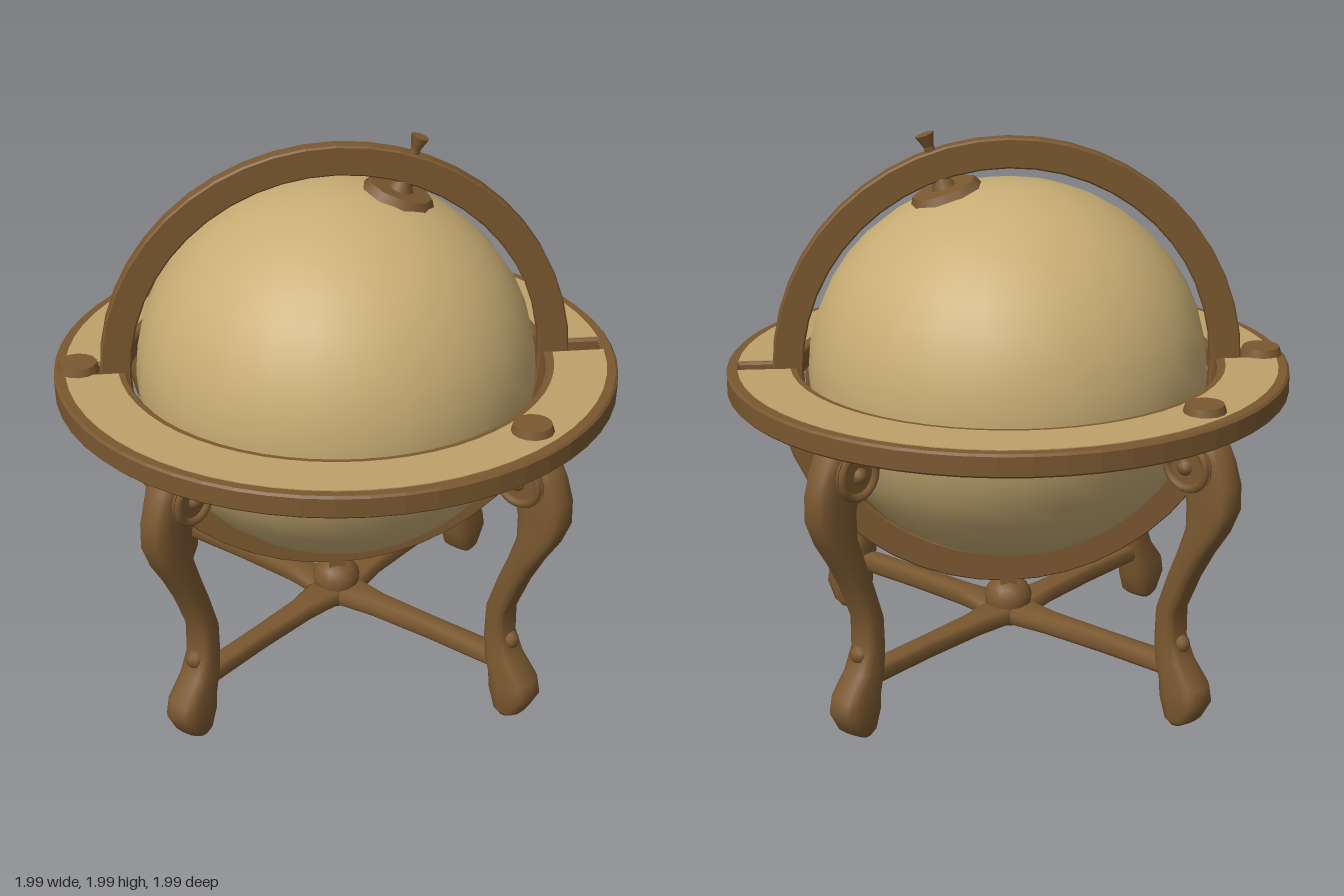
import * as THREE from 'three';

const mat = (name, color) => {
  const m = new THREE.MeshStandardMaterial({ color });
  m.name = name;
  return m;
};

export function createModel() {
  const wood = mat('brown wood', 0x7a5830);
  const paper = mat('globe parchment', 0xc8ad74);
  const inlay = mat('horizon inlay', 0xbca26a);
  const model = new THREE.Group();

  const add = (parent, name, geo, material, x = 0, y = 0, z = 0) => {
    const mesh = new THREE.Mesh(geo, material);
    mesh.name = name;
    mesh.position.set(x, y, z);
    parent.add(mesh);
    return mesh;
  };

  const arc = (r, a0, a1, n) => Array.from({ length: n + 1 }, (_, i) => {
    const a = a0 + (a1 - a0) * i / n;
    return new THREE.Vector2(r * Math.cos(a), r * Math.sin(a));
  });
  const extrude = (shape, depth, bevel = 0) => new THREE.ExtrudeGeometry(shape, {
    depth: depth - 2 * bevel, bevelEnabled: bevel > 0, bevelThickness: bevel,
    bevelSize: bevel, bevelOffset: -bevel, bevelSegments: 1,
  }).translate(0, 0, bevel);

  // Smooth loft of rounded sections, rows from bottom to top: [y, inner, outer, width]
  const loft = (rows, n = 14) => {
    const pos = [], idx = [];
    const soft = (v) => Math.sign(v) * Math.abs(v) ** 0.65;
    for (const [y, a, b, w] of rows) {
      for (let j = 0; j < n; j++) {
        const t = j / n * Math.PI * 2;
        pos.push((a + b) / 2 + (b - a) / 2 * soft(Math.cos(t)), y, w / 2 * soft(Math.sin(t)));
      }
    }
    const last = (rows.length - 1) * n, base = rows.length * n;
    for (const [y, a, b] of [rows[0], rows[rows.length - 1]]) pos.push((a + b) / 2, y, 0);
    for (let j = 0; j < n; j++) {
      const k = (j + 1) % n;
      for (let i = 0; i < last; i += n) {
        idx.push(i + j, i + n + j, i + k, i + k, i + n + j, i + n + k);
      }
      idx.push(base, j, k, base + 1, last + k, last + j);
    }
    const g = new THREE.BufferGeometry();
    g.setAttribute('position', new THREE.Float32BufferAttribute(pos, 3));
    g.setIndex(idx);
    g.computeVertexNormals();
    return g;
  };

  // Globe
  const globe = add(model, 'globe', new THREE.SphereGeometry(0.708, 28, 20), paper, 0, 1.14, 0);
  globe.scale.y = 0.672 / 0.708;

  // Upright meridian ring
  const meridian = new THREE.Shape(arc(0.834, 0, Math.PI * 2, 48).slice(0, -1));
  meridian.holes.push(new THREE.Path(arc(0.725, 0, Math.PI * 2, 48).slice(0, -1)));
  add(model, 'meridianRing', extrude(meridian, 0.058, 0.006), wood, 0, 1.145, -0.029).scale.y = 0.988;

  // Horizon ring with a slot on each side for the meridian
  const slot = 0.036, inner = 0.742;
  const s = Math.asin(slot / inner);
  const hole = [
    ...arc(inner, s, Math.PI - s, 28),
    new THREE.Vector2(-0.86, slot), new THREE.Vector2(-0.86, -slot),
    ...arc(inner, Math.PI + s, Math.PI * 2 - s, 28),
    new THREE.Vector2(0.95, -slot), new THREE.Vector2(0.95, slot),
  ];
  const horizon = new THREE.Shape(arc(0.996, 0, Math.PI * 2, 56).slice(0, -1));
  horizon.holes.push(new THREE.Path(hole));
  add(model, 'horizonRing', extrude(horizon, 0.082, 0.008).rotateX(-Math.PI / 2), wood, 0, 1.08, 0);

  // Pale inlay on the horizon, one half in front and one behind
  const gap = 0.052, ro = 0.957, ri = 0.772;
  const so = Math.asin(gap / ro), si = Math.asin(gap / ri);
  const half = new THREE.Shape([...arc(ro, so, Math.PI - so, 28), ...arc(ri, Math.PI - si, si, 28)]);
  for (const turn of [0, Math.PI]) {
    const plate = add(model, 'horizonInlay', extrude(half, 0.005).rotateX(-Math.PI / 2), inlay, 0, 1.16, 0);
    plate.rotation.y = turn;
  }

  // Round buttons on the horizon
  for (const [x, z] of [[-0.605, -0.63], [-0.91, 0], [0.59, 0.625]]) {
    add(model, 'horizonButton', new THREE.CylinderGeometry(0.066, 0.076, 0.034, 14), wood, x, 1.175, z);
  }

  // Tilted pole fittings
  const pole = new THREE.Group();
  pole.name = 'pole';
  pole.position.set(0, 1.14, 0);
  pole.rotation.z = -0.33;
  model.add(pole);
  add(pole, 'poleRosette', new THREE.CylinderGeometry(0.115, 0.132, 0.03, 9), wood, 0, 0.676, 0);
  add(pole, 'poleCollar', new THREE.CylinderGeometry(0.03, 0.045, 0.04, 10), wood, 0, 0.708, 0);
  add(pole, 'polePin', new THREE.CylinderGeometry(0.018, 0.018, 0.2, 8), wood, 0, 0.785, 0);
  add(pole, 'poleFinial', new THREE.CylinderGeometry(0.034, 0.018, 0.045, 8), wood, 0, 0.867, 0);
  add(model, 'lowerPin', new THREE.CylinderGeometry(0.034, 0.034, 0.08, 10), wood, 0, 0.455, 0);

  // Cabriole legs on the diagonals, with scrolls and stretchers
  const legGeo = loft([
    [0, 0.775, 0.825, 0.1], [0.02, 0.75, 0.86, 0.125], [0.09, 0.725, 0.9, 0.14],
    [0.15, 0.72, 0.89, 0.135], [0.23, 0.7, 0.825, 0.12], [0.31, 0.695, 0.79, 0.11],
    [0.42, 0.7, 0.79, 0.11], [0.55, 0.745, 0.845, 0.115], [0.65, 0.785, 0.9, 0.12],
    [0.74, 0.815, 0.96, 0.12], [0.83, 0.815, 1.0, 0.12], [0.92, 0.795, 1.0, 0.12],
    [1.0, 0.78, 0.975, 0.12], [1.085, 0.78, 0.93, 0.12],
  ]);
  const stretcherGeo = loft([[0, -0.035, 0.035, 0.17], [0.2, -0.035, 0.035, 0.1],
    [0.45, -0.037, 0.035, 0.08], [0.74, -0.036, 0.036, 0.085]], 10).rotateZ(-Math.PI / 2);
  for (let k = 0; k < 4; k++) {
    const leg = new THREE.Group();
    leg.name = 'leg';
    leg.rotation.y = Math.PI / 4 + k * Math.PI / 2;
    model.add(leg);
    add(leg, 'cabrioleLeg', legGeo, wood);
    add(leg, 'scroll', new THREE.CylinderGeometry(0.1, 0.1, 0.125, 18).rotateX(Math.PI / 2), wood, 0.835, 0.975, 0);
    for (const side of [-1, 1]) {
      add(leg, 'scrollRim', new THREE.TorusGeometry(0.08, 0.016, 6, 18), wood, 0.835, 0.975, side * 0.062);
      add(leg, 'scrollEye', new THREE.SphereGeometry(0.03, 10, 8), wood, 0.83, 0.97, side * 0.058);
    }
    add(leg, 'ankleLeaf', new THREE.SphereGeometry(0.035, 8, 6), wood, 0.785, 0.29, 0);
    add(leg, 'stretcher', stretcherGeo, wood, 0, 0.2, 0);
  }

  // Centre hub and the fork that holds the meridian
  const hub = [[0, 0.16], [0.08, 0.165], [0.085, 0.24], [0.088, 0.27], [0.07, 0.3], [0.045, 0.325], [0, 0.33]];
  add(model, 'hub', new THREE.LatheGeometry(hub.map(([x, y]) => new THREE.Vector2(x, y)), 14), wood);
  for (const side of [-1, 1]) {
    add(model, 'forkPlate', new THREE.BoxGeometry(0.06, 0.13, 0.018), wood, 0, 0.375, side * 0.04);
  }
  return model;
}
